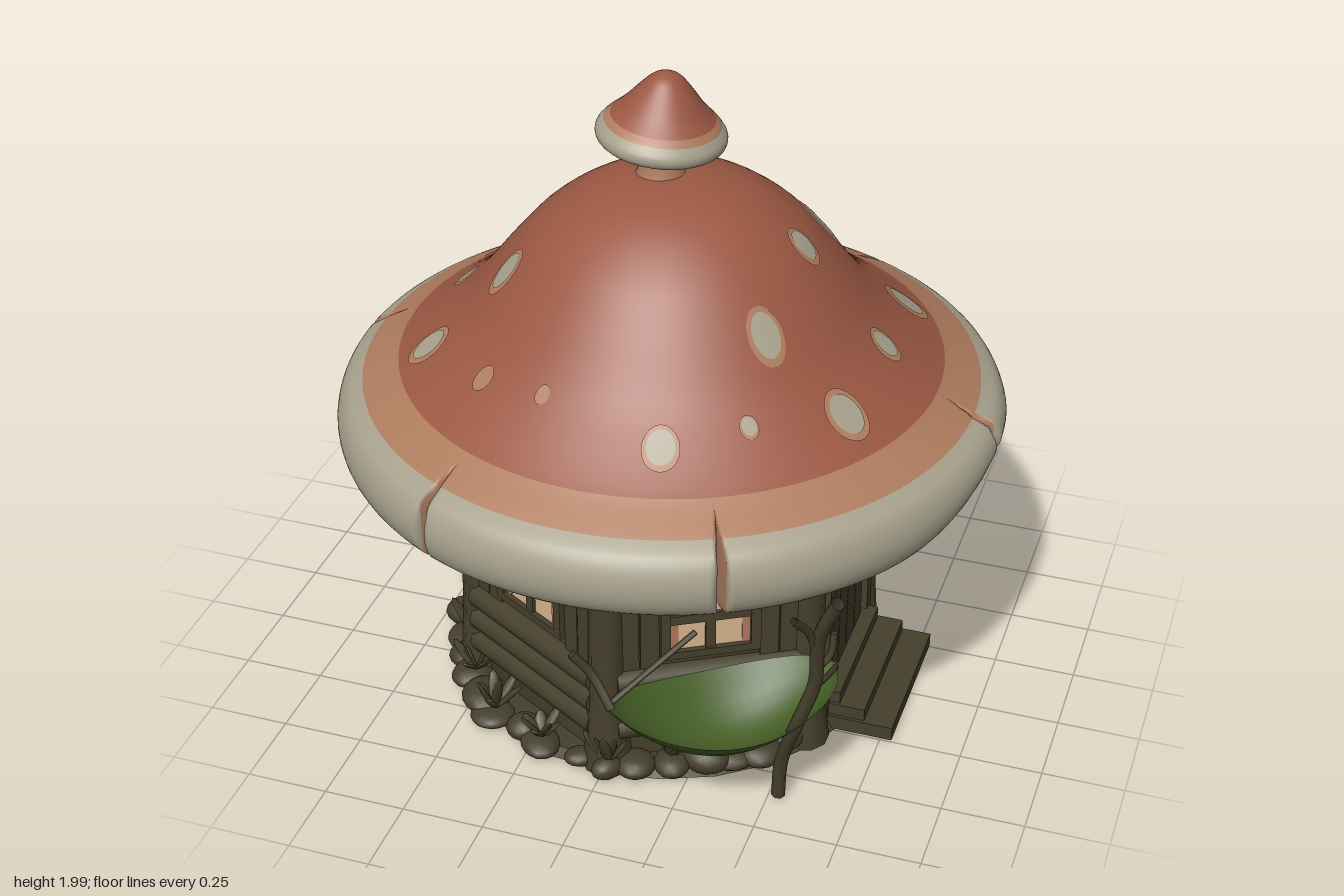
import * as THREE from 'three';

const mat = (name, color, side = THREE.FrontSide) => {
  const m = new THREE.MeshStandardMaterial({ color, side });
  m.name = name;
  return m;
};
const M = {
  red: mat('cap red', 0x9b5843, THREE.DoubleSide),
  tan: mat('cap tan', 0xae7c5e),
  cream: mat('cap cream', 0xa7a18c),
  wood: mat('dark wood', 0x453f2b, THREE.DoubleSide),
  stone: mat('dark stone', 0x443e2c),
  leaf: mat('leaf green', 0x465f26, THREE.DoubleSide),
  glow: mat('window glow', 0xd9b48f),
  curtain: mat('curtain pink', 0xb07860),
};
let seed = 7;
const rnd = (a = 0, b = 1) => {
  seed = (seed * 16807) % 2147483647;
  return a + (b - a) * (seed / 2147483647);
};
const V = (x, y, z) => new THREE.Vector3(x, y, z);

function add(parent, name, geo, material, x = 0, y = 0, z = 0, rx = 0, ry = 0, rz = 0) {
  const m = new THREE.Mesh(geo, material);
  m.name = name;
  m.position.set(x, y, z);
  m.rotation.set(rx, ry, rz);
  parent.add(m);
  return m;
}
const box = (p, name, w, h, d, material, ...t) => add(p, name, new THREE.BoxGeometry(w, h, d), material, ...t);
const tube = (p, name, pts, r) =>
  add(p, name, new THREE.TubeGeometry(new THREE.CatmullRomCurve3(pts), pts.length * 5, r, 7), M.wood);

// Smooth samples of a profile, STEP per control span
const STEP = 4;
const sample = (pts) => new THREE.SplineCurve(pts.map(([r, y]) => new THREE.Vector2(r, y))).getPoints((pts.length - 1) * STEP);

// Surface of revolution, top to bottom; materialAt(row, col) picks a colour, warp moves points
function buildCap(profile, angles, warp, materialAt) {
  const pos = [], lists = [[], [], [], []], n = angles.length;
  for (const p of profile) for (const angle of angles) {
    const [r, y, a] = warp(p.x, p.y, angle);
    pos.push(r * Math.cos(a), y, r * Math.sin(a));
  }
  for (let i = 0; i < profile.length - 1; i++) for (let j = 0; j < n; j++) {
    const a = i * n + j, b = i * n + (j + 1) % n;
    lists[materialAt(i, j)].push(a, b, a + n, b, b + n, a + n);
  }
  const g = new THREE.BufferGeometry();
  g.setAttribute('position', new THREE.Float32BufferAttribute(pos, 3));
  g.setIndex(lists.flat());
  let start = 0;
  lists.forEach((l, k) => { g.addGroup(start, l.length, k); start += l.length; });
  g.computeVertexNormals();
  return g;
}
const capMats = [M.red, M.tan, M.cream, M.wood];

function roof(root) {
  const ctrl = [[0, 1.68], [0.12, 1.672], [0.25, 1.63], [0.38, 1.54], [0.48, 1.43], [0.6, 1.28], [0.7, 1.19], [0.81, 1.11],
    [0.92, 1.05], [0.975, 1.01], [1, 0.94], [0.99, 0.87], [0.95, 0.825], [0.88, 0.82], [0.78, 0.855], [0.6, 0.9], [0.45, 0.94]];
  const prof = sample(ctrl);
  // Angles crowd around the six rim notches
  const angles = [];
  const PER = 40;
  for (let k = 0; k < 6; k++) for (let j = 0; j < PER; j++) {
    const u = (j / PER) * 2 - 1;
    angles.push(k * Math.PI / 3 + Math.PI / 6 * u * Math.abs(u) ** 0.9);
  }
  const warp = (r, y, a) => {
    const off = Math.abs(a - Math.round(a / (Math.PI / 3)) * Math.PI / 3);
    const limit = 0.86 + 0.15 * Math.min(1, off / 0.018);
    const a0 = Math.atan2(Math.sin(a), Math.cos(a));
    const low = THREE.MathUtils.clamp((1.05 - y) / 0.2, 0, 1) * (r > 0.5 ? 1 : 0);
    return [Math.min(r, limit), y + low * 0.075 * Math.exp(-((a0 / 0.27) ** 2)), a + 0.075 * Math.sin(2 * a)];
  };
  const g = buildCap(prof, angles, warp, (i, j) => {
    const span = i / STEP;
    const notch = Math.abs((j % PER) + 0.5 - PER / 2) < 3;
    return span < 7 ? 0 : span < 8 ? 1 : span < 13 ? (notch ? 1 : 2) : 3;
  });
  add(root, 'roofCap', g, capMats);

  // Spots draped over the roof: x, z, radius; a fourth value leaves out the pale centre
  const height = (r) => {
    let i = 0;
    while (i < 7 * STEP && prof[i + 1].x < r) i++;
    const a = prof[i], b = prof[i + 1];
    return a.y + (b.y - a.y) * (r - a.x) / (b.x - a.x);
  };
  const spots = [[-0.66, -0.33, 0.065], [-0.39, -0.34, 0.05, 1], [-0.65, 0, 0.04], [-0.64, 0.33, 0.062], [-0.42, 0.25, 0.052],
    [-0.385, 0.53, 0.032, 1], [-0.385, -0.55, 0.026, 1], [0.11, -0.67, 0.06], [0.375, -0.25, 0.062], [0.625, -0.36, 0.068],
    [0.4, 0.01, 0.048], [0.65, 0, 0.047], [0.385, 0.33, 0.056], [0.625, 0.33, 0.066], [0.4, 0.53, 0.028], [0.19, 0.67, 0.054], [-0.18, 0.6, 0.022, 1]];
  for (const [x, z, r, plain] of spots) for (const [k, lift, m] of [[1, 0.005, M.tan], [0.76, 0.009, M.cream]]) {
    if (plain && m === M.cream) continue;
    const d = new THREE.RingGeometry(0, r * k, 20, 4).rotateX(-Math.PI / 2).translate(x, 0, z);
    const p = d.attributes.position;
    for (let i = 0; i < p.count; i++) p.setY(i, height(Math.hypot(p.getX(i), p.getZ(i))) + lift);
    d.computeVertexNormals();
    add(root, 'roofSpot', d, m);
  }
}

// Little mushroom chimney
function chimney(root) {
  const g = new THREE.Group();
  g.name = 'chimney';
  g.position.set(-0.04, 0, -0.025);
  root.add(g);
  const stem = [[0.085, 1.65], [0.066, 1.69], [0.062, 1.75], [0.066, 1.82]].map((p) => new THREE.Vector2(...p));
  add(g, 'chimneyStem', new THREE.LatheGeometry(stem, 20), M.tan);
  const prof = sample([[0, 0.205], [0.04, 0.192], [0.08, 0.15], [0.12, 0.1], [0.152, 0.068],
    [0.17, 0.05], [0.19, 0.022], [0.185, -0.005], [0.15, -0.014], [0.04, 0.015]]);
  const angles = Array.from({ length: 36 }, (_, j) => j * Math.PI / 18);
  const cap = buildCap(prof, angles, (r, y, a) => [r, y, a], (i) => (i < 4 * STEP ? 0 : i < 5 * STEP ? 1 : 2));
  add(g, 'chimneyCap', cap, capMats, 0, 1.785, 0, 0, 0, -0.1);
}

// Four-pane window centred at (0, y) on a wall panel
function windowUnit(p, y, w, h, bar) {
  box(p, 'windowGlow', w, h, 0.008, M.glow, 0, y, 0.008);
  for (const s of [-1, 1]) {
    box(p, 'curtain', w * 0.1, h, 0.006, M.curtain, s * w * 0.45, y, 0.012);
    box(p, 'windowJamb', 0.03, h + 0.04, 0.035, M.wood, s * (w / 2 + 0.015), y, 0.012);
    box(p, 'windowRail', w + 0.06, 0.025, 0.035, M.wood, 0, y + s * (h / 2 + 0.012), 0.012);
  }
  box(p, 'mullion', bar, h, 0.02, M.wood, 0, y, 0.013);
  box(p, 'mullion', w, bar, 0.02, M.wood, 0, y, 0.013);
}

function doorway(p) {
  const s = new THREE.Shape([[-0.21, 0.12], [0.21, 0.12], [0.21, 0.58], [0.14, 0.665], [-0.14, 0.665], [-0.21, 0.58]].map((c) => new THREE.Vector2(...c)));
  add(p, 'door', new THREE.ExtrudeGeometry(s, { depth: 0.012, bevelSize: 0.008, bevelThickness: 0.006, bevelSegments: 1 }), M.wood);
  for (const x of [-0.14, -0.047, 0.047, 0.14]) box(p, 'doorPlank', 0.088, 0.47, 0.01, M.wood, x, 0.36, 0.02);
  for (const k of [-1, 1]) {
    box(p, 'doorJamb', 0.05, 0.64, 0.045, M.wood, k * 0.235, 0.36, 0.015);
    box(p, 'doorBrace', 0.03, 0.13, 0.04, M.wood, k * 0.18, 0.63, 0.015, 0, 0, k * 0.7);
  }
  box(p, 'doorLintel', 0.52, 0.03, 0.05, M.wood, 0, 0.685, 0.015);
  add(p, 'doorKnob', new THREE.SphereGeometry(0.036, 16, 12), M.wood, 0.15, 0.34, 0.05);
  windowUnit(p, 0.825, 0.17, 0.11, 0.014);
  // Steps
  [[0.5, 0.05, 0.25], [0.48, 0.09, 0.16], [0.46, 0.13, 0.08]].forEach(([w, top, d]) =>
    box(p, 'step', w, 0.045, d, M.wood, 0, top - 0.0225, d / 2 - 0.01));
}

function house(root) {
  add(root, 'walls', new THREE.CylinderGeometry(0.63, 0.63, 0.93, 6).toNonIndexed(), M.wood, 0, 0.475, 0);
  const post = [[0.08, 0], [0.07, 0.08], [0.058, 0.25], [0.054, 0.55], [0.058, 0.8], [0.07, 0.93]].map((c) => new THREE.Vector2(...c));
  for (let k = 0; k < 6; k++) {
    const c = k * Math.PI / 3, a = c + Math.PI / 6;
    add(root, 'cornerPost', new THREE.LatheGeometry(post, 10), M.wood, 0.602 * Math.sin(c), 0, 0.602 * Math.cos(c));
    const p = new THREE.Group();
    p.name = 'wallPanel';
    p.rotation.y = a;
    p.position.set(0.546 * Math.sin(a), 0, 0.546 * Math.cos(a));
    root.add(p);
    if (k === 1) { doorway(p); continue; }
    windowUnit(p, 0.525, 0.24, 0.22, 0.03);
    for (let i = 0; i < 3; i++)
      add(p, 'wallLog', new THREE.CylinderGeometry(0.043, 0.043, 0.56, 10), M.wood, 0, 0.15 + i * 0.083, 0, 0, 0, Math.PI / 2);
    for (const x of [-0.24, -0.18, 0.18, 0.24]) box(p, 'wallPlank', 0.056, 0.55, 0.02, M.wood, x, 0.63, 0.002);
    for (const x of [-0.1, 0, 0.1]) box(p, 'upperPlank', 0.098, 0.22, 0.018, M.wood, x, 0.79, 0.002);
  }
  tube(root, 'wallPeg', [V(0.54, 0.57, 0.27), V(0.59, 0.572, 0.27), V(0.635, 0.575, 0.27)], 0.011);
}

// Leaf hammock hung between branches; s mirrors front to back
function hammock(root, s) {
  const g = new THREE.Group();
  g.name = 'leafHammock';
  root.add(g);
  const W = (x, y, z) => V(x, y, z * s);
  const leaf = new THREE.PlaneGeometry(2, 2, 20, 10), p = leaf.attributes.position;
  for (let i = 0; i < p.count; i++) {
    const u = p.getX(i), v = p.getY(i), w = 0.185 * Math.max(0, 1 - u * u) ** 0.55;
    p.setXYZ(i, 0.39 + 0.76 * 0.355 * u + 0.65 * w * v,
      0.23 + 0.2 * u * u - 0.02 * u + 0.12 * v * v * (1 - u * u) + 0.01 * Math.abs(v),
      s * (0.685 - 0.65 * 0.355 * u + 0.76 * w * v));
  }
  leaf.computeVertexNormals();
  add(g, 'leaf', leaf, M.leaf);
  tube(g, 'branchPost', [W(0.53, 0.01, 0.6), W(0.54, 0.15, 0.61), W(0.59, 0.32, 0.65), W(0.645, 0.5, 0.66), W(0.66, 0.68, 0.69), W(0.72, 0.84, 0.73)], 0.021);
  tube(g, 'branchFork', [W(0.655, 0.6, 0.68), W(0.64, 0.7, 0.71), W(0.61, 0.79, 0.78)], 0.012);
  tube(g, 'branchTwig', [W(0.65, 0.55, 0.67), W(0.685, 0.6, 0.65), W(0.69, 0.67, 0.64)], 0.011);
  tube(g, 'leafTie', [W(0.655, 0.41, 0.46), W(0.65, 0.44, 0.56), W(0.635, 0.47, 0.66)], 0.009);
  tube(g, 'tieTwig', [W(0, 0.61, 0.89), W(0.05, 0.54, 0.87), W(0.12, 0.45, 0.9)], 0.014);
  tube(g, 'tieVine', [W(0.11, 0.46, 0.89), W(0.2, 0.54, 0.81), W(0.31, 0.64, 0.72)], 0.009);
}

// Stones and small plants ringing the base
function surroundings(root) {
  add(root, 'groundSlab', new THREE.CylinderGeometry(0.64, 0.66, 0.03, 24), M.stone, 0, 0.015, 0);
  for (let i = 0; i < 40; i++) {
    const a = (i + rnd(-0.25, 0.25)) / 40 * Math.PI * 2, c = Math.cos(a);
    if (c > 0.9) continue;
    const r = 0.655 - 0.06 * Math.max(0, c) + rnd(-0.03, 0.03), w = rnd(0.05, 0.09), h = rnd(0.025, 0.05);
    const stone = add(root, 'stone', new THREE.IcosahedronGeometry(1, 2), M.stone, r * c, h * 0.95, r * Math.sin(a), 0, rnd(0, 6), 0);
    stone.scale.set(w, h, w * rnd(0.7, 1));
    if (i % 2) continue;
    const plant = new THREE.Group();
    plant.name = 'plant';
    plant.position.set((r - 0.01) * c, 0.045, (r - 0.01) * Math.sin(a));
    root.add(plant);
    for (let j = 0; j < 7; j++) {
      const len = rnd(0.08, 0.13);
      const blade = new THREE.SphereGeometry(1, 6, 5).scale(0.02, len / 2, 0.007).translate(0, len / 2, 0);
      blade.rotateX(rnd(0.2, 0.85)).rotateY(j * Math.PI * 2 / 7);
      add(plant, 'plantLeaf', blade, M.wood);
    }
  }
}

export function createModel() {
  const root = new THREE.Group();
  root.name = 'mushroomHouse';
  house(root);
  roof(root);
  chimney(root);
  for (const s of [1, -1]) hammock(root, s);
  surroundings(root);
  return root;
}
